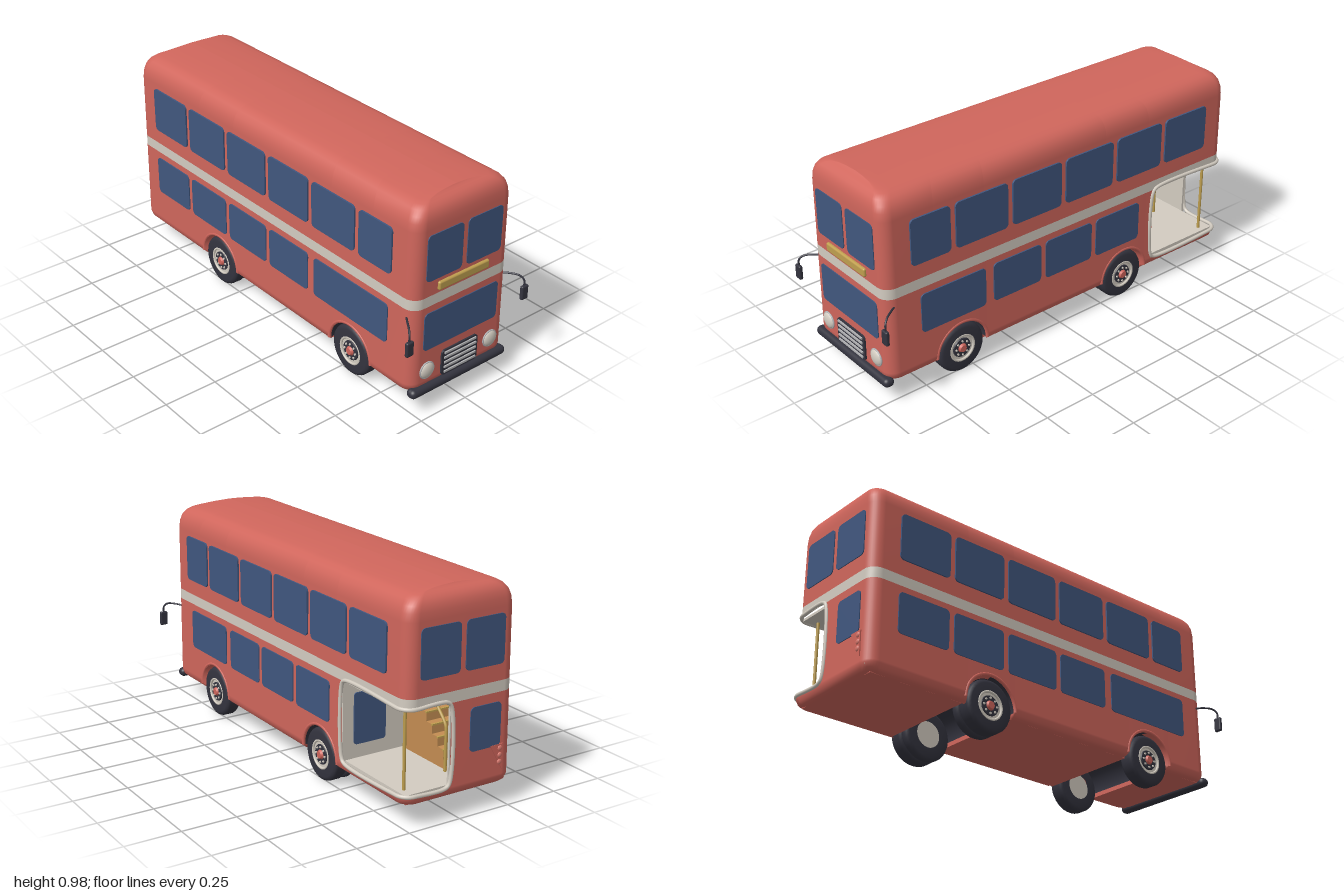
import * as THREE from 'three';
import { RoundedBoxGeometry } from 'three/addons/geometries/RoundedBoxGeometry.js';

const mat = (name, color, side = THREE.FrontSide) => {
  const m = new THREE.MeshStandardMaterial({ color, side });
  m.name = name;
  return m;
};
const RED = mat('bus red', 0xd0665c), BLUE = mat('window blue', 0x41577f), CREAM = mat('cream', 0xd3ccc1);
const DARK = mat('dark grey', 0x34343f, THREE.DoubleSide), GOLD = mat('gold', 0xbf9f4f);
const WOOD = mat('wood', 0xc48d52), SILVER = mat('silver', 0xb4b4b6), LAMP = mat('lamp red', 0xd8776c);

const HW = 0.272, ZF = 0.945, ZB = -0.99, R = 0.055;      // body half width, ends, corner radius
const AXLES = [0.565, -0.369], ARCH = 0.128, AXLE_Y = 0.118;
const DOOR_Z = -0.54, DOOR_X = 0.05, SILL = 0.145, DECK = 0.505;

// Plan outline of the body, running down the right side, across the back and round
function outline() {
  const zs = [ZF - R, DOOR_Z, ZB + R, 0.1];
  for (const c of AXLES) {
    zs.push(c + ARCH + 0.001, c - ARCH - 0.001);
    for (let i = 0; i <= 20; i++) zs.push(c + ARCH * Math.cos(i * Math.PI / 20));
  }
  zs.sort((a, b) => b - a);
  const pts = [];
  const corner = (cx, cz, a) => {
    for (let i = 1; i < 8; i++) {
      const t = a + i * Math.PI / 16;
      pts.push([cx + R * Math.cos(t), cz - R * Math.sin(t)]);
    }
  };
  zs.forEach(z => pts.push([HW, z]));
  corner(HW - R, ZB + R, 0);
  for (const x of [HW - R, DOOR_X, R - HW]) pts.push([x, ZB]);
  corner(R - HW, ZB + R, Math.PI / 2);
  zs.reverse().forEach(z => pts.push([-HW, z]));
  corner(R - HW, ZF - R, Math.PI);
  for (const x of [R - HW, 0, HW - R]) pts.push([x, ZF]);
  corner(HW - R, ZF - R, Math.PI * 1.5);
  return pts;
}
const PLAN = outline();

// Lower edge of the bodywork, lifted over the wheels
function lowerEdge([x, z]) {
  if (Math.abs(x) < HW - 1e-6) return 0.1;
  for (const c of AXLES) {
    const d = Math.abs(z - c);
    if (d <= ARCH + 1e-6) return 0.12 + Math.sqrt(Math.max(0, ARCH * ARCH - d * d));
  }
  return 0.1;
}
const inDoor = (x, z) => (x > 0.2 && z < DOOR_Z) || (z < ZB + R && x > DOOR_X);

// Skin through rows of [height, side inset, end inset]
function loft(rows, skip = () => false) {
  const pos = [], idx = [], n = PLAN.length, zc = (ZF + ZB) / 2, hz = (ZF - ZB) / 2;
  for (const [y, ix, iz] of rows) for (const p of PLAN)
    pos.push(p[0] * (HW - ix) / HW, Math.max(y, lowerEdge(p)), zc + (p[1] - zc) * (hz - iz) / hz);
  for (let j = 0; j < rows.length - 1; j++) for (let i = 0; i < n; i++) {
    const k = (i + 1) % n, p = PLAN[i], q = PLAN[k];
    if (skip((p[0] + q[0]) / 2, (p[1] + q[1]) / 2, j)) continue;
    const a = j * n + i, b = j * n + k, c = b + n, d = a + n;
    idx.push(a, b, c, a, c, d);
  }
  const g = new THREE.BufferGeometry();
  g.setAttribute('position', new THREE.Float32BufferAttribute(pos, 3));
  g.setIndex(idx);
  g.computeVertexNormals();
  return g;
}

function roundRect(x0, x1, y0, y1, r) {
  const s = new THREE.Shape();
  s.moveTo(x0 + r, y0).lineTo(x1 - r, y0).absarc(x1 - r, y0 + r, r, -Math.PI / 2, 0);
  s.lineTo(x1, y1 - r).absarc(x1 - r, y1 - r, r, 0, Math.PI / 2);
  s.lineTo(x0 + r, y1).absarc(x0 + r, y1 - r, r, Math.PI / 2, Math.PI);
  s.lineTo(x0, y0 + r).absarc(x0 + r, y0 + r, r, Math.PI, Math.PI * 1.5);
  return s;
}

export function createModel() {
  const bus = new THREE.Group();
  bus.name = 'doubleDeckBus';
  const add = (name, geo, m, x = 0, y = 0, z = 0, parent = bus) => {
    const o = new THREE.Mesh(geo, m);
    o.name = name;
    o.position.set(x, y, z);
    parent.add(o);
    return o;
  };
  const box = (name, m, x0, x1, y0, y1, z0, z1) =>
    add(name, new THREE.BoxGeometry(x1 - x0, y1 - y0, z1 - z0), m, (x0 + x1) / 2, (y0 + y1) / 2, (z0 + z1) / 2);
  const tube = (name, m, pts, r, closed = false, type = 'centripetal') => add(name, new THREE.TubeGeometry(
    new THREE.CatmullRomCurve3(pts.map(p => new THREE.Vector3(...p)), closed, type), pts.length * 8, r, 8, closed), m);
  // Rounded panel on one face of the bus; a0..a1 is world x (front, back) or z (sides)
  const FACES = { front: [0, 1], back: [Math.PI, -1], right: [Math.PI / 2, -1], left: [-Math.PI / 2, 1] };
  const panel = (name, face, m, a0, a1, y0, y1, at, r = 0.02, depth = 0.008) => {
    const [turn, s] = FACES[face], u = [a0 * s, a1 * s].sort((a, b) => a - b);
    const g = new THREE.ExtrudeGeometry(roundRect(u[0], u[1], y0, y1, r), { depth, bevelEnabled: false, curveSegments: 6 });
    g.translate(0, 0, at).rotateY(turn);
    return add(name, g, m);
  };

  // Bodywork
  add('lowerBody', loft([[0.1, 0.035, 0.035], [0.105, 0.017, 0.017], [0.115, 0.006, 0.006], [0.135, 0, 0],
    [SILL, 0, 0], [DECK, 0.003, 0]], (x, z, j) => j === 4 && inDoor(x, z)), RED);
  add('waistBand', loft([[DECK, 0.003, 0], [0.553, 0.0035, 0]]), CREAM);
  add('upperBody', loft([[0.553, 0.0035, 0], [0.86, 0.006, 0], [0.895, 0.011, 0.002], [0.922, 0.021, 0.008],
    [0.943, 0.038, 0.02], [0.956, 0.06, 0.036], [0.963, 0.085, 0.05], [0.969, 0.14, 0.06],
    [0.973, 0.2, 0.064], [0.975, HW, 0.066]]), RED);
  const floorCuts = [0.91, AXLES[0] + ARCH, AXLES[0] - ARCH, AXLES[1] + ARCH, AXLES[1] - ARCH, -0.955];
  for (let i = 0; i < 6; i += 2) box('underside', RED, -0.238, 0.238, 0.1, 0.125, floorCuts[i + 1], floorCuts[i]);

  // Wheels, wells and arch lips
  const tyre = w => new THREE.LatheGeometry([[0.06, -w], [0.1, -w], [0.113, -w + 0.006], [0.118, -w + 0.016],
    [0.118, w - 0.016], [0.113, w - 0.006], [0.1, w], [0.06, w]].map(p => new THREE.Vector2(...p)), 36);
  for (const [k, z] of AXLES.entries()) {
    const well = add('wheelWell', new THREE.CylinderGeometry(ARCH, ARCH, 0.534, 24, 1, true, 0, Math.PI), DARK, 0, 0.12, z);
    well.rotation.z = Math.PI / 2;
    for (const s of [1, -1]) {
      add('archLip', new THREE.TorusGeometry(0.134, 0.008, 8, 24, Math.PI), RED, s * 0.267, 0.12, z).rotation.y = Math.PI / 2;
      const wheel = new THREE.Group();
      wheel.name = k ? 'rearWheel' : 'frontWheel';
      wheel.position.set(s * 0.23, AXLE_Y, z);
      wheel.rotation.z = -s * Math.PI / 2;                // local +y points outward
      bus.add(wheel);
      add('tyre', tyre(0.036), DARK, 0, 0, 0, wheel);
      if (k) add('innerTyre', tyre(0.022), DARK, 0, -0.058, 0, wheel);
      add('rim', new THREE.CylinderGeometry(0.066, 0.066, k ? 0.104 : 0.056, 32), CREAM, 0, k ? -0.022 : 0, 0, wheel);
      add('rimEdge', new THREE.TorusGeometry(0.062, 0.006, 8, 32), CREAM, 0, 0.032, 0, wheel).rotation.x = Math.PI / 2;
      add('hubPlate', new THREE.CylinderGeometry(0.044, 0.046, 0.006, 32), DARK, 0, 0.031, 0, wheel);
      add('hub', new THREE.CylinderGeometry(0.016, 0.024, 0.014, 16), RED, 0, 0.037, 0, wheel);
      for (let i = 0; i < 8; i++) {
        const a = i * Math.PI / 4;
        add('wheelNut', new THREE.CylinderGeometry(0.005, 0.005, 0.006, 6), CREAM, 0.034 * Math.cos(a), 0.036, 0.034 * Math.sin(a), wheel);
      }
    }
  }

  // Side windows
  const upper = [[0.615, 0.813], [0.316, 0.588], [0.021, 0.289], [-0.278, -0.005], [-0.572, -0.305], [-0.856, -0.599]];
  const lowerRight = [[0.439, 0.775], [0.134, 0.396], [-0.16, 0.107], [-0.449, -0.187]];
  const lowerLeft = [[0.33, 0.8], ...upper.slice(2)];
  for (const f of ['right', 'left']) {
    for (const [a, b] of upper) panel('upperSideWindow', f, BLUE, a, b, 0.625, 0.838, 0.2665);
    for (const [a, b] of f === 'right' ? lowerRight : lowerLeft) panel('lowerSideWindow', f, BLUE, a, b, 0.29, 0.475, 0.267);
  }

  // Front and back windows
  for (const s of [1, -1]) {
    panel('upperFrontWindow', 'front', BLUE, s * 0.013, s * 0.206, 0.625, 0.836, ZF - 0.004);
    panel('upperBackWindow', 'back', BLUE, s * 0.013, s * 0.206, 0.625, 0.836, -ZB - 0.004);
  }
  panel('windscreen', 'front', BLUE, -0.206, 0.206, 0.296, 0.474, ZF - 0.004);
  panel('lowerBackWindow', 'back', BLUE, -0.2, -0.045, 0.275, 0.465, -ZB - 0.004);

  // Front fittings
  add('destinationBar', new RoundedBoxGeometry(0.28, 0.04, 0.024, 3, 0.008), GOLD, 0, 0.586, ZF);
  panel('grille', 'front', DARK, -0.102, 0.102, 0.132, 0.256, ZF - 0.004, 0.018, 0.012);
  for (let i = 0; i < 5; i++) box('grilleBar', SILVER, -0.09, 0.09, 0.145 + i * 0.0235, 0.154 + i * 0.0235, ZF, ZF + 0.014);
  for (const s of [1, -1]) {
    add('headlight', new THREE.SphereGeometry(0.038, 24, 16), CREAM, s * 0.18, 0.195, ZF).scale.z = 0.45;
    add('headlightRing', new THREE.TorusGeometry(0.037, 0.004, 8, 28), SILVER, s * 0.18, 0.195, ZF + 0.002);
    // Wing mirrors
    tube('mirrorArm', DARK, [[s * 0.262, 0.465, 0.9], [s * 0.285, 0.47, 0.93], [s * 0.312, 0.466, 0.97],
      [s * 0.324, 0.447, 0.987], [s * 0.325, 0.41, 0.988]], 0.0045);
    add('mirror', new RoundedBoxGeometry(0.038, 0.068, 0.018, 3, 0.007), DARK, s * 0.325, 0.388, 0.99);
  }
  add('bumper', new RoundedBoxGeometry(0.54, 0.042, 0.05, 4, 0.02), DARK, 0, 0.106, 0.942);

  // Tail lamp cluster
  const tri = new THREE.Shape([[0.15, 0.28], [0.215, 0.165], [0.215, 0.28]].map(p => new THREE.Vector2(...p)));
  add('tailLampPlate', new THREE.ExtrudeGeometry(tri, { depth: 0.008, bevelEnabled: false }).rotateY(Math.PI), RED, 0, 0, ZB + 0.003);
  for (const y of [0.202, 0.232, 0.262])
    add('tailLamp', new THREE.SphereGeometry(0.012, 16, 10), LAMP, -0.2, y, ZB - 0.004).scale.z = 0.5;

  // Rear platform lining
  box('platformFloor', CREAM, -0.25, 0.252, 0.126, 0.148, -0.97, DOOR_Z);
  box('platformCeiling', CREAM, -0.25, 0.252, 0.5, 0.512, -0.97, DOOR_Z);
  box('bulkhead', CREAM, -0.255, 0.264, 0.126, DECK, DOOR_Z, DOOR_Z + 0.012);
  box('innerSideWall', CREAM, -0.262, -0.25, 0.126, DECK, -0.96, DOOR_Z);
  box('innerBackWall', CREAM, -0.24, DOOR_X, 0.126, DECK, -0.983, -0.972);
  panel('bulkheadWindow', 'back', BLUE, 0.05, 0.21, 0.21, 0.44, -DOOR_Z - 0.003, 0.015);
  box('stairwell', DARK, -0.248, -0.03, 0.496, 0.501, -0.84, DOOR_Z);

  // Door surround follows the body corner, top and bottom
  const first = PLAN.findIndex(p => p[0] === HW && p[1] === DOOR_Z);
  const last = PLAN.findIndex(p => p[0] === DOOR_X && p[1] === ZB);
  const edge = PLAN.slice(first, last + 1).filter(p => p[1] !== DOOR_Z && p[0] !== DOOR_X);
  const row = y => [[HW - 0.002, y, DOOR_Z + 0.02 - 0.04], ...edge.map(p => [p[0], y, p[1]]), [DOOR_X + 0.02, y, ZB]];
  tube('doorSurround', CREAM, [...row(0.511), [DOOR_X, 0.49, ZB], [DOOR_X, SILL + 0.02, ZB], ...row(SILL).reverse(),
    [HW - 0.002, SILL + 0.02, DOOR_Z], [HW - 0.002, 0.49, DOOR_Z]], 0.009, true);

  // Stairs, handrail and pole
  for (let i = 0; i < 8; i++) {
    const z = -0.87 + i * 0.0405;
    box('stair', WOOD, -0.249, -0.04, 0.147, 0.147 + (i + 1) * 0.0425, z, z + 0.0405);
    box('stairNosing', GOLD, -0.249, -0.038, 0.141 + (i + 1) * 0.0425, 0.148 + (i + 1) * 0.0425, z - 0.004, z + 0.006);
  }
  tube('handrail', GOLD, [[-0.03, 0.5, -0.716], [-0.03, 0.425, -0.786], [-0.03, 0.355, -0.85], [-0.03, 0.335, -0.856],
    [-0.03, 0.24, -0.856], [-0.03, 0.147, -0.856]], 0.007);
  add('platformPole', new THREE.CylinderGeometry(0.007, 0.007, 0.36, 12), GOLD, 0.22, 0.326, -0.915);
  return bus;
}
